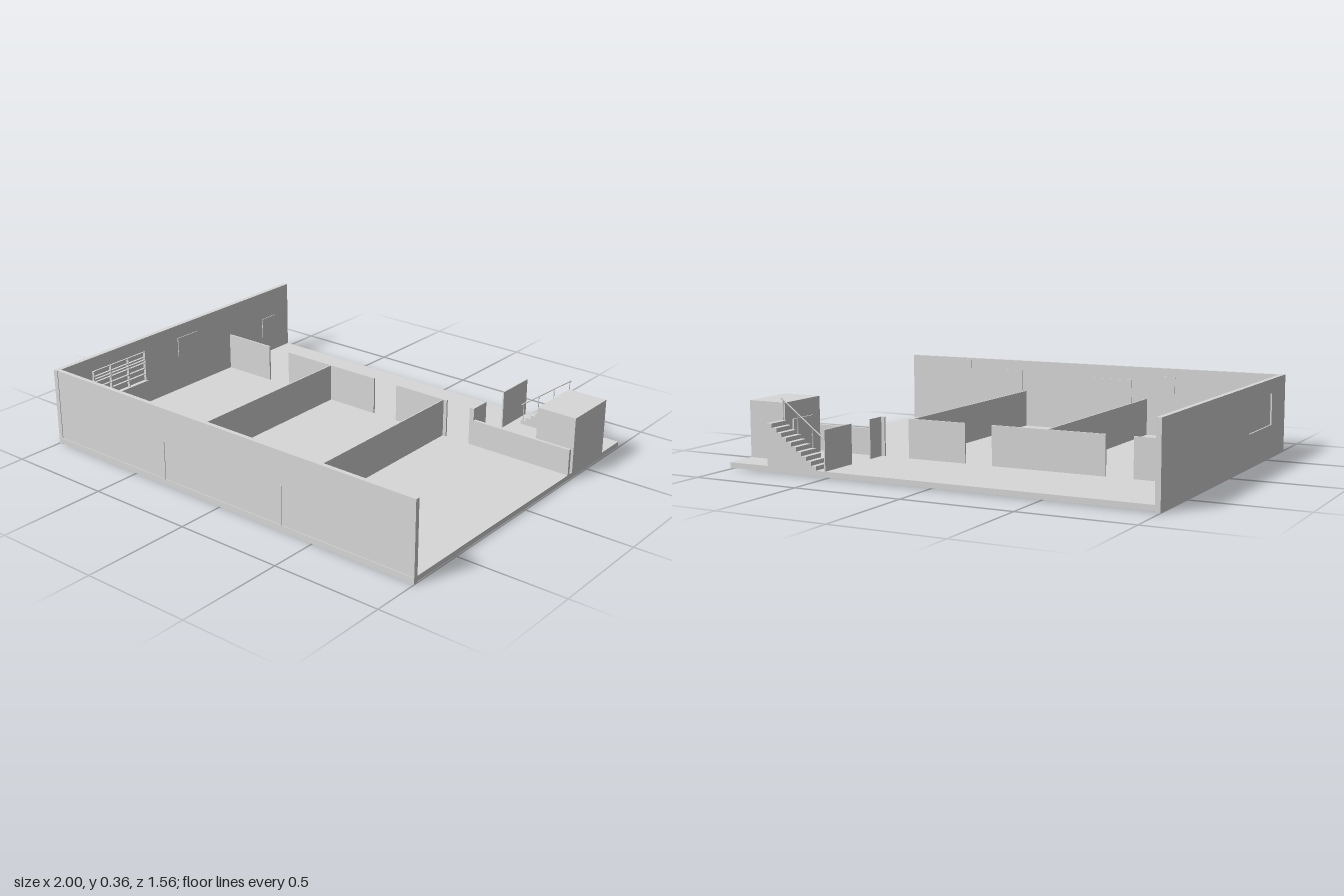
import * as THREE from 'three';

export function createModel() {
  const model = new THREE.Group();
  const plaster = new THREE.MeshStandardMaterial({ color: 0xd8d8d8 });
  plaster.name = 'plaster grey';

  const add = (name, geometry, parent = model) => {
    const mesh = new THREE.Mesh(geometry, plaster);
    mesh.name = name;
    parent.add(mesh);
    return mesh;
  };
  // Box given by its extents along each axis
  const box = (name, [x0, x1], [y0, y1], [z0, z1], parent) => {
    const g = new THREE.BoxGeometry(x1 - x0, y1 - y0, z1 - z0);
    g.translate((x0 + x1) / 2, (y0 + y1) / 2, (z0 + z1) / 2);
    return add(name, g, parent);
  };
  const group = (name) => {
    const g = new THREE.Group();
    g.name = name;
    model.add(g);
    return g;
  };
  const floor = 0.03, wallTop = 0.207, inner = -0.977;
  const win = { y0: 0.15, y1: 0.295, z0: 0.255, z1: 0.58 };

  // Base slab, with the tall outer walls reaching just below it
  box('floorSlab', [-0.999, 1], [0.006, floor], [-0.78, 0.78]);
  box('frontWall', [-0.999, 1], [0, 0.36], [0.757, 0.777]);

  // Side wall with its window opening
  const outline = new THREE.Shape();
  outline.moveTo(-0.78, 0).lineTo(0.78, 0).lineTo(0.78, 0.36).lineTo(-0.78, 0.36).closePath();
  const opening = new THREE.Path();
  opening.moveTo(win.z0, win.y0).lineTo(win.z0, win.y1).lineTo(win.z1, win.y1).lineTo(win.z1, win.y0).closePath();
  outline.holes.push(opening);
  const sideWall = new THREE.ExtrudeGeometry(outline, { depth: 1 + inner, bevelEnabled: false });
  sideWall.rotateY(-Math.PI / 2);
  sideWall.translate(inner, 0, 0);
  add('sideWall', sideWall);

  // Partitions between the three rooms, showing as slim seams in the front wall
  for (const x of [-0.318, 0.34])
    box('partition', [x - 0.003, x + 0.003], [floor, wallTop], [-0.34, 0.78]);

  // Corridor wall, broken by doorways
  for (const span of [[inner, -0.71], [-0.585, -0.055], [0.075, 0.36]])
    box('corridorWall', span, [floor, wallTop], [-0.344, -0.336]);

  // Entrance area: low wall, door pier and screen wall
  box('lowWall', [0.505, 1], [floor, 0.15], [-0.35, -0.336]);
  box('pierReturn', [0.485, 0.508], [floor, wallTop], [-0.344, -0.336]);
  box('doorPier', [0.502, 0.508], [floor, wallTop], [-0.435, -0.336]);
  box('screenWall', [0.502, 0.508], [floor, wallTop], [-0.78, -0.58]);

  // Closed cabin with its door
  box('cabin', [0.812, 1], [floor, 0.285], [-0.633, -0.372]);
  box('cabinDoor', [0.804, 0.812], [floor, wallTop], [-0.58, -0.435]);
  box('doorHandle', [0.8, 0.806], [0.115, 0.121], [-0.455, -0.44]);

  // Solid staircase rising toward the left
  const steps = 10, run = 0.025, rise = (0.215 - floor) / steps;
  const profile = new THREE.Shape();
  profile.moveTo(0.55, floor);
  for (let i = 0; i < steps; i++) {
    profile.lineTo(0.55 + i * run, floor + (i + 1) * rise);
    profile.lineTo(0.55 + (i + 1) * run, floor + (i + 1) * rise);
  }
  profile.lineTo(0.8, floor);
  profile.closePath();
  const stairs = new THREE.ExtrudeGeometry(profile, { depth: 0.109, bevelEnabled: false });
  stairs.translate(0, 0, -0.78);
  add('stairs', stairs);

  // Handrail
  const railing = group('railing');
  const rod = (name, a, b, r) => {
    const curve = new THREE.LineCurve3(new THREE.Vector3(...a), new THREE.Vector3(...b));
    add(name, new THREE.TubeGeometry(curve, 1, r, 8), railing);
  };
  rod('handrail', [0.55, 0.125, -0.674], [0.8, 0.312, -0.674], 0.003);
  for (let i = 0; i < 4; i++) {
    const x = 0.56 + i * 0.077, y = floor + (x - 0.55) * 0.74;
    rod('railPost', [x, y, -0.674], [x, y + 0.1, -0.674], 0.002);
  }

  // Window: recessed pane, upright and level bars, and a sill
  const window = group('window');
  const { y0, y1, z0, z1 } = win;
  box('pane', [-0.993, -0.98], [y0, y1], [z0, z1], window);
  for (const z of [z0, 0.362, 0.471, z1 - 0.004])
    box('mullion', [-0.98, -0.966], [y0, y1], [z, z + 0.004], window);
  for (const y of [0.18, 0.208, 0.236, 0.25, 0.264, y1 - 0.004])
    box('glazingBar', [-0.98, -0.969], [y, y + 0.004], [z0, z1], window);
  box('sill', [-0.98, -0.96], [y0 - 0.008, y0], [z0 - 0.005, z1 + 0.005], window);

  // Thin panels hung on the side wall and the front wall
  for (const [za, zb, ya, yb] of [[-0.105, 0.03, 0.2, 0.295], [-0.68, -0.58, 0.12, 0.22]])
    box('sidePanel', [inner, inner + 0.004], [ya, yb], [za, zb]);
  for (const [xa, xb, ya, yb] of [
    [-0.465, -0.37, 0.24, 0.32], [-0.24, 0, 0.17, 0.295],
    [0.36, 0.45, 0.21, 0.31], [0.65, 0.68, 0.31, 0.35],
  ]) box('frontPanel', [xa, xb], [ya, yb], [0.752, 0.757]);

  return model;
}
